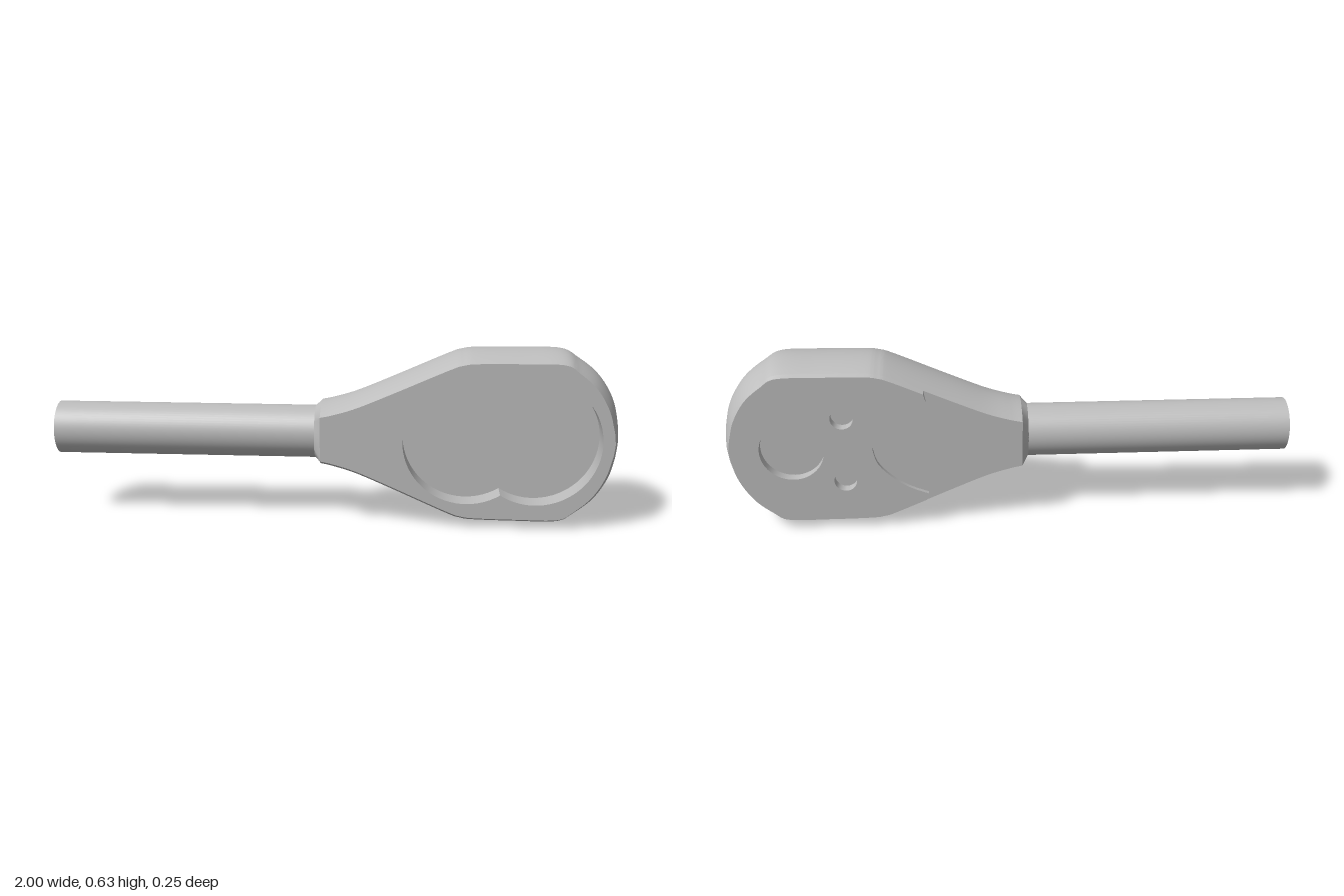
import * as THREE from 'three';
import { toCreasedNormals } from 'three/addons/utils/BufferGeometryUtils.js';

const MID_Y = 0.3125, FRONT = 0.125, BACK = -0.125, NECK_BACK = -0.11;
const HANDLE_R = 0.094, HANDLE_Z = 0.005, STEP_X = 0.27;
const v2 = (x, y) => new THREE.Vector2(x, y);
const spline = (pts, n) => new THREE.SplineCurve(pts.map(p => v2(...p))).getPoints(n);
const mirrorY = pts => pts.map(p => v2(p.x, -p.y));
const at = (pts, z) => pts.map(p => new THREE.Vector3(p.x, p.y, z));

// Skin between closed rings; faces point along (ring direction x stacking direction)
function loft(rings) {
  const n = rings[0].length, pos = [], idx = [];
  rings.forEach(r => r.forEach(p => pos.push(p.x, p.y, p.z)));
  for (let i = 0; i < rings.length - 1; i++) {
    for (let j = 0; j < n; j++) {
      const k = (j + 1) % n, a = i * n + j, b = i * n + k;
      idx.push(a, b, b + n, a, b + n, a + n);
    }
  }
  const g = new THREE.BufferGeometry();
  g.setAttribute('position', new THREE.Float32BufferAttribute(pos, 3));
  g.setIndex(idx);
  return toCreasedNormals(g, 0.55);
}

// Flat face at depth z, with optional holes, looking forward or backward
function cap(pts, z, back = false, holes = []) {
  const shape = new THREE.Shape(pts);
  shape.holes = holes.map(h => new THREE.Path(h));
  const g = new THREE.ShapeGeometry(shape).translate(0, 0, z);
  if (back) {
    g.setIndex(Array.from(g.index.array).reverse());
    g.computeVertexNormals();
  }
  return g;
}

// Counter-clockwise arc points
function arc(cx, cy, r, from = 0, to = Math.PI * 2, n = 48) {
  return Array.from({ length: n }, (_, i) => {
    const a = from + (to - from) * i / n;
    return v2(cx + r * Math.cos(a), cy + r * Math.sin(a));
  });
}

// Crowned sides: the outline draws in towards the front and back faces
function crown(p, z) {
  const t = (z / 0.125) ** 2;
  const dy = 0.033 * t * Math.min(1, Math.abs(p.y) / 0.1);
  const dx = 0.025 * t * THREE.MathUtils.clamp((p.x - 0.8) / 0.2, 0, 1);
  return v2(p.x - dx, p.y - Math.sign(p.y) * dy);
}

export function createModel() {
  const group = new THREE.Group();
  const steel = new THREE.MeshStandardMaterial({ color: 0xbcbcbc });
  steel.name = 'steel grey';
  const add = (name, geometry) => {
    const m = new THREE.Mesh(geometry, steel);
    m.name = name;
    m.position.y = MID_Y;
    group.add(m);
  };

  // Head outline, from the neck along the bottom, round the tip and back along the top
  const top = spline([[-0.045, 0.112], [0, 0.122], [0.08, 0.147], [0.2, 0.198], [0.4, 0.287],
    [0.45, 0.304], [0.5, 0.31], [0.65, 0.312], [0.79, 0.31], [0.85, 0.28], [0.92, 0.225],
    [0.97, 0.15], [0.992, 0.075], [1, 0]], 90);
  const outline = [...mirrorY(top), ...top.slice(0, -1).reverse()];
  const crowned = (pts, z) => pts.map(p => crown(p, z));

  // Crowned side wall of the head
  const levels = Array.from({ length: 11 }, (_, i) => NECK_BACK + (FRONT - NECK_BACK) * i / 10);
  add('headSides', loft(levels.map(z => at(crowned(outline, z), z))));

  // Front face with the double-round pocket
  const R = 0.225, half = 0.12, cx = 0.588, notch = Math.acos(half / R);
  const pocket = [
    ...arc(cx + half, 0, R, notch - Math.PI, Math.PI - notch),
    ...arc(cx - half, 0, R, notch, Math.PI * 2 - notch),
  ].filter((p, i) => (i < 48 ? p.x >= cx - 1e-6 : p.x <= cx + 1e-6));
  add('frontFace', cap(crowned(outline, FRONT), FRONT, false, [pocket]));
  add('frontPocketWall', loft([at(pocket, FRONT), at(pocket, 0.04)]));
  add('frontPocketFloor', cap(pocket, 0.04));

  // Raised back plate, ending in a round-nosed cut-out towards the neck
  const noseTop = spline([[0.29, 0.182], [0.36, 0.152], [0.42, 0.108], [0.465, 0.055], [0.48, 0]], 20);
  const nose = [...noseTop, ...mirrorY(noseTop).reverse().slice(1)];
  const headPts = outline.filter(p => p.x >= STEP_X);
  const plate = z => [...crowned(headPts, z), ...nose];
  const holes = [arc(0.76, 0, 0.112), arc(0.58, 0.122, 0.04, 0, Math.PI * 2, 28),
    arc(0.58, -0.122, 0.04, 0, Math.PI * 2, 28)];
  add('backPlateEdge', loft([at(plate(BACK), BACK), at(plate(NECK_BACK), NECK_BACK)]));
  add('backPlate', cap(plate(BACK), BACK, true, holes));

  // Round sockets in the back plate
  ['driveSocket', 'upperScrewHole', 'lowerScrewHole'].forEach((name, i) => {
    add(name + 'Wall', loft([at(holes[i], -0.09), at(holes[i], BACK)]));
    add(name + 'Floor', cap(holes[i], -0.09, true));
  });

  // Lower back face of the neck
  const neckTop = top.filter(p => p.x < STEP_X);
  const joint = [headPts[headPts.length - 1], headPts[0]];
  const neck = crowned([joint[0], ...neckTop.slice().reverse(), ...mirrorY(neckTop), joint[1]], NECK_BACK);
  add('neckBack', cap([...neck, ...nose.slice().reverse()], NECK_BACK, true));

  // Short taper from the neck section to the round handle
  const section = [];
  const edge = z => crown(v2(-0.045, 0.112), z).y;
  for (let i = 0; i <= 10; i++) section.push([edge(levels[i]), levels[i]]);
  for (let i = 1; i < 10; i++) section.push([edge(FRONT) * (1 - i / 5), FRONT]);
  for (let i = 10; i >= 0; i--) section.push([-edge(levels[i]), levels[i]]);
  for (let i = 1; i < 10; i++) section.push([edge(NECK_BACK) * (i / 5 - 1), NECK_BACK]);
  const neckRing = section.map(([y, z]) => new THREE.Vector3(-0.045, y, z));
  const handleRing = section.map(([y, z]) => {
    const a = Math.atan2(z - HANDLE_Z, y);
    return new THREE.Vector3(-0.068, HANDLE_R * Math.cos(a), HANDLE_Z + HANDLE_R * Math.sin(a));
  });
  add('neckTaper', loft([handleRing, neckRing]));

  // Open-ended tubular handle
  const handle = new THREE.CylinderGeometry(HANDLE_R, HANDLE_R, 0.95, 64, 1, true);
  add('handle', handle.rotateZ(Math.PI / 2).translate(-0.525, 0, HANDLE_Z));

  return group;
}
